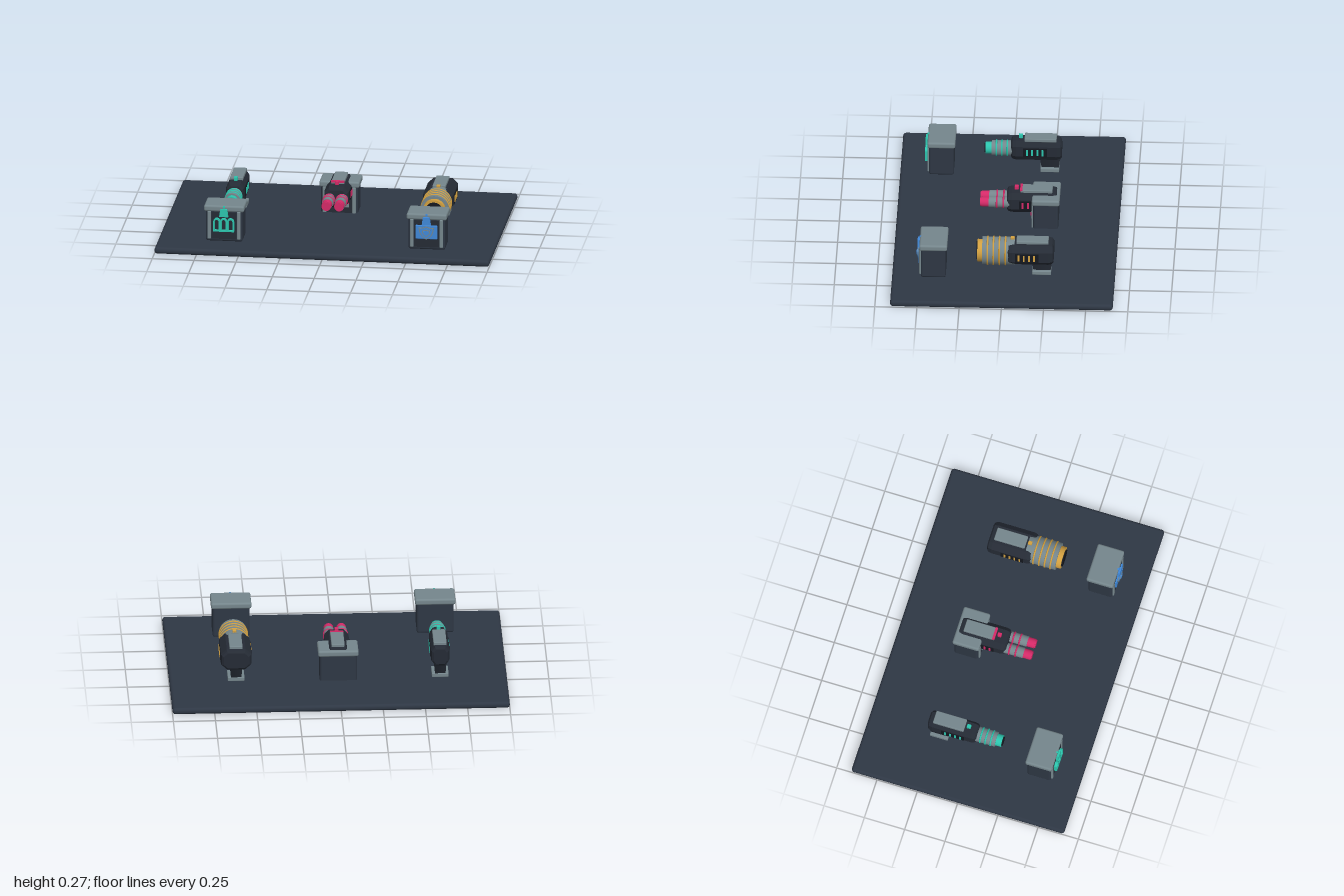
import * as THREE from 'three';
import { RoundedBoxGeometry } from 'three/addons/geometries/RoundedBoxGeometry.js';

const mat = (name, color, side = THREE.FrontSide) => {
  const m = new THREE.MeshStandardMaterial({ color, side });
  m.name = name;
  return m;
};

export function createModel() {
  const slate = mat('slate', 0x2e3744);
  const dark = mat('dark', 0x252b35);
  const bore = mat('bore', 0x14181f);
  const gray = mat('gray', 0x75868c);
  const teal = mat('teal', 0x2cc5ae);
  const pink = mat('pink', 0xd42a68);
  const blue = mat('blue', 0x4088d8);
  const gold = mat('gold', 0xd2a040);

  const root = new THREE.Group();
  root.name = 'weaponDisplay';

  const add = (parent, name, geo, material, x = 0, y = 0, z = 0) => {
    const mesh = new THREE.Mesh(geo, material);
    mesh.name = name;
    mesh.position.set(x, y, z);
    parent.add(mesh);
    return mesh;
  };
  const box = (w, h, d) => new THREE.BoxGeometry(w, h, d);
  const rbox = (w, h, d, r) => new RoundedBoxGeometry(w, h, d, 3, r);
  const tubeZ = (r, len, r2 = r) => new THREE.CylinderGeometry(r2, r, len, 32).rotateX(Math.PI / 2);
  const plate = (shape, depth) => new THREE.ExtrudeGeometry(shape, { depth, bevelEnabled: false, curveSegments: 10 });
  const poly = (pts) => new THREE.Shape(pts.map(([x, y]) => new THREE.Vector2(x, y)));

  // Rounded-top bullet outline and shield outline
  const bullet = (w, h) => {
    const s = new THREE.Shape();
    s.moveTo(-w, -h);
    s.lineTo(w, -h);
    s.lineTo(w, h - w);
    s.absarc(0, h - w, w, 0, Math.PI, false);
    s.lineTo(-w, -h);
    return s;
  };
  const shield = (k) => {
    const s = new THREE.Shape();
    s.moveTo(0, -0.042 * k);
    s.quadraticCurveTo(0.045 * k, -0.02 * k, 0.045 * k, 0.03 * k);
    s.quadraticCurveTo(0.02 * k, 0.03 * k, 0, 0.04 * k);
    s.quadraticCurveTo(-0.02 * k, 0.03 * k, -0.045 * k, 0.03 * k);
    s.quadraticCurveTo(-0.045 * k, -0.02 * k, 0, -0.042 * k);
    return s;
  };

  // Crate with lid, front posts and latch; returned group has its origin at floor level
  const crate = (name, x, y, z, accent) => {
    const g = new THREE.Group();
    g.name = name;
    g.position.set(x, y, z);
    root.add(g);
    add(g, 'crateBody', rbox(0.22, 0.2, 0.148, 0.014), slate, 0, 0.1, 0);
    add(g, 'lid', rbox(0.24, 0.038, 0.165, 0.012), gray, 0, 0.204, 0);
    add(g, 'frontPanel', box(0.15, 0.165, 0.008), dark, 0, 0.1, 0.076);
    for (const s of [-1, 1]) add(g, 'frontPost', rbox(0.022, 0.175, 0.02, 0.007), gray, s * 0.088, 0.102, 0.074);
    const latch = poly([[-0.027, -0.025], [0.027, -0.025], [0.02, 0.022], [-0.02, 0.022]]);
    add(g, 'latch', plate(latch, 0.018), accent, 0, 0.183, 0.078);
    add(g, 'latchKnob', box(0.012, 0.012, 0.014), accent, 0, 0.216, 0.078);
    return g;
  };

  // Base board
  add(root, 'baseBoard', rbox(2, 0.04, 1.32, 0.018), slate, 0, 0.02, 0);

  // Crate with three bullet frames
  const bulletCrate = crate('bulletCrate', -0.605, 0.04, 0.415, teal);
  for (const i of [-1, 0, 1]) {
    const frame = bullet(0.021, 0.041);
    frame.holes.push(bullet(0.012, 0.032));
    add(bulletCrate, 'bulletFrame', plate(frame, 0.02), teal, i * 0.041, 0.108, 0.078);
  }

  // Crate with a shield emblem
  const shieldCrate = crate('shieldCrate', 0.605, 0.04, 0.415, blue);
  add(shieldCrate, 'emblemPlate', rbox(0.13, 0.086, 0.012, 0.005), blue, 0, 0.112, 0.083);
  [[1, gray], [0.85, blue], [0.55, gray], [0.4, blue]].forEach(([k, m], i) =>
    add(shieldCrate, 'shieldLayer', plate(shield(k), 0.005 + i * 0.003), m, 0, 0.11, 0.088));

  // Crate sunk behind the middle blaster
  const middleCrate = crate('middleCrate', 0, 0.01, -0.227, pink);
  add(middleCrate, 'emblemPlate', rbox(0.12, 0.07, 0.01, 0.004), gray, 0, 0.1, 0.083);
  add(middleCrate, 'emblemBar', box(0.12, 0.02, 0.009), pink, 0, 0.098, 0.086);

  // Blaster housing: chamfered octagonal body, rail, sight, side slots, grip and foot
  const blaster = (name, x, w, front, accent) => {
    const g = new THREE.Group();
    g.name = name;
    g.position.set(x, 0.178, 0);
    root.add(g);
    const h = 0.064, cx = w * 0.38, cy = 0.032, bevel = 0.03, back = -0.296;
    const section = poly([[-w, -h + cy], [-w + cx, -h], [w - cx, -h], [w, -h + cy],
      [w, h - cy], [w - cx, h], [-w + cx, h], [-w, h - cy]]);
    const body = new THREE.ExtrudeGeometry(section, {
      depth: front - back - 2 * bevel, bevelThickness: bevel, bevelSize: 0.016, bevelOffset: -0.016, bevelSegments: 2,
    });
    add(g, 'housing', body, dark, 0, 0, back + bevel);
    add(g, 'topRail', rbox(0.078, 0.022, 0.19, 0.005), gray, 0, 0.069, -0.17);
    add(g, 'sight', rbox(0.022, 0.024, 0.024, 0.003), accent, 0, 0.079, -0.052);
    for (const s of [-1, 1]) {
      add(g, 'sidePanel', box(0.006, 0.056, 0.14), bore, s * w, -0.004, -0.138);
      for (let i = 0; i < 4; i++)
        add(g, 'sideSlot', box(0.009, 0.04, 0.011), accent, s * (w + 0.001), -0.004, -0.09 - i * 0.031);
    }
    const grip = new THREE.CylinderGeometry(0.06, 0.05, 0.08, 4, 1).rotateY(Math.PI / 4).scale(0.85, 1, 1.4);
    add(g, 'grip', grip, dark, 0, -0.09, -0.227);
    add(g, 'foot', rbox(0.1, 0.026, 0.112, 0.005), gray, 0, -0.127, -0.225);
    return g;
  };

  // Ringed barrel with coloured muzzle
  const barrel = (g, x, y, r, z0, z1, rings, muzzleR, tip, accent) => {
    add(g, 'barrel', tubeZ(r, z1 - z0 + 0.03), gray, x, y, (z0 + z1 - 0.03) / 2);
    for (const z of rings) add(g, 'barrelRing', new THREE.TorusGeometry(r, 0.005, 8, 32), accent, x, y, z);
    add(g, 'muzzle', tubeZ(muzzleR, tip - z1), accent, x, y, (z1 + tip) / 2);
    add(g, 'muzzleBore', tubeZ(muzzleR * 0.78, 0.012), bore, x, y, tip);
  };

  // Slim blaster
  const slim = blaster('slimBlaster', -0.605, 0.054, 0.005, teal);
  barrel(slim, 0, -0.005, 0.045, 0, 0.12, [0.028, 0.06, 0.092], 0.036, 0.156, teal);

  // Twin-barrel blaster
  const twin = blaster('twinBlaster', 0, 0.073, 0.005, pink);
  for (const s of [-1, 1]) {
    barrel(twin, s * 0.038, -0.003, 0.032, 0, 0.112, [0.025, 0.065], 0.029, 0.156, pink);
    add(twin, 'muzzleCap', tubeZ(0.026, 0.014), pink, s * 0.038, -0.003, 0.156);
  }
  add(twin, 'rearSight', box(0.078, 0.012, 0.014), pink, 0, 0.077, -0.08);

  // Heavy blaster
  const heavy = blaster('heavyBlaster', 0.605, 0.09, -0.022, gold);
  barrel(heavy, 0, -0.005, 0.083, -0.035, 0.127, [-0.01, 0.026, 0.061, 0.096], 0.067, 0.156, gold);

  return root;
}
